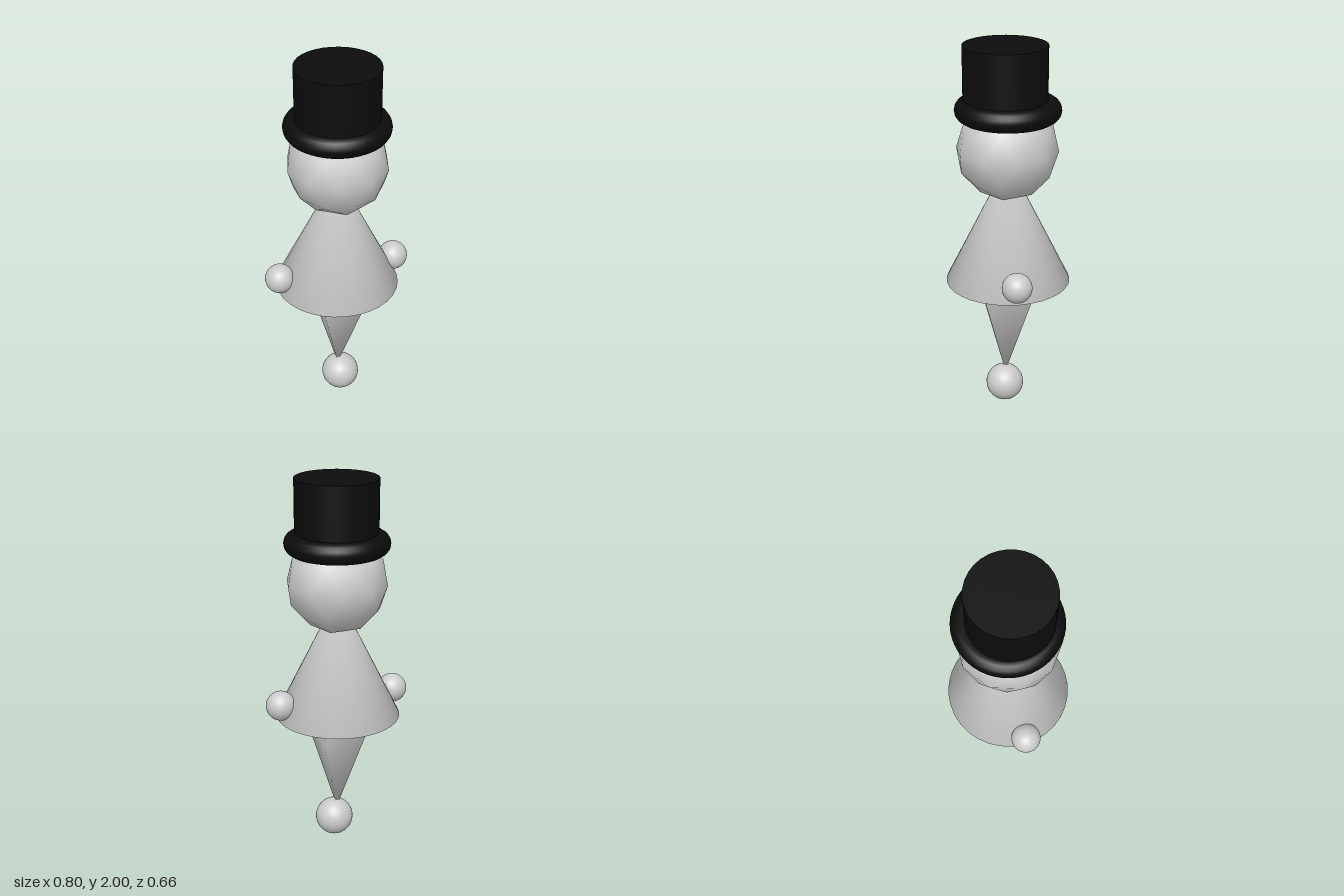
import * as THREE from 'three';
import { mergeVertices } from 'three/addons/utils/BufferGeometryUtils.js';

const grey = new THREE.MeshStandardMaterial({ color: 0xcccccc });
const black = new THREE.MeshStandardMaterial({ color: 0x0c0c0c });

// Weld all corners so that shading runs smoothly over every edge
function weld(geometry) {
  geometry.deleteAttribute('uv');
  geometry.deleteAttribute('normal');
  const welded = mergeVertices(geometry, 1e-4);
  welded.computeVertexNormals();
  return welded;
}

export function createModel() {
  const model = new THREE.Group();

  function add(name, geometry, material, x, y, z) {
    const mesh = new THREE.Mesh(geometry, material);
    mesh.name = name;
    mesh.position.set(x, y, z);
    model.add(mesh);
    return mesh;
  }

  const ball = (r) => new THREE.SphereGeometry(r, 32, 20);

  // Ball foot that the figure stands on
  add('foot', ball(0.102), grey, 0.013, 0.102, 0.02);

  // Four-sided leg tapering down into the foot
  const legTop = 0.74, legTip = 0.16;
  const leg = new THREE.ConeGeometry(0.148 * Math.SQRT2, legTop - legTip, 4);
  leg.rotateX(Math.PI).rotateY(Math.PI / 4);
  add('leg', weld(leg), grey, 0, (legTop + legTip) / 2, 0.014);

  // Conical coat, its tip hidden inside the head
  const hem = 0.735, coatTip = 1.402;
  add('coat', weld(new THREE.ConeGeometry(0.329, coatTip - hem, 32)), grey, 0, (hem + coatTip) / 2, 0);

  // Hands at the sides of the coat
  add('leftHand', ball(0.078), grey, 0.32, 0.828, 0.007);
  add('rightHand', ball(0.078), grey, -0.322, 0.828, 0.007);

  // Faceted head with one vertex pointing straight up
  const head = new THREE.IcosahedronGeometry(0.265, 1);
  head.rotateZ(-Math.atan(2 / (1 + Math.sqrt(5)))).rotateY(Math.PI / 2);
  add('head', head, grey, 0.003, 1.462, 0.004);

  // Top hat: rolled brim and crown
  const brim = new THREE.TorusGeometry(0.217, 0.055, 16, 48).rotateX(Math.PI / 2);
  add('hatBrim', brim, black, 0.003, 1.672, 0);
  const crownBase = 1.65;
  add('hatCrown', new THREE.CylinderGeometry(0.215, 0.215, 2 - crownBase, 32), black, 0, (2 + crownBase) / 2, 0.013);

  return model;
}
